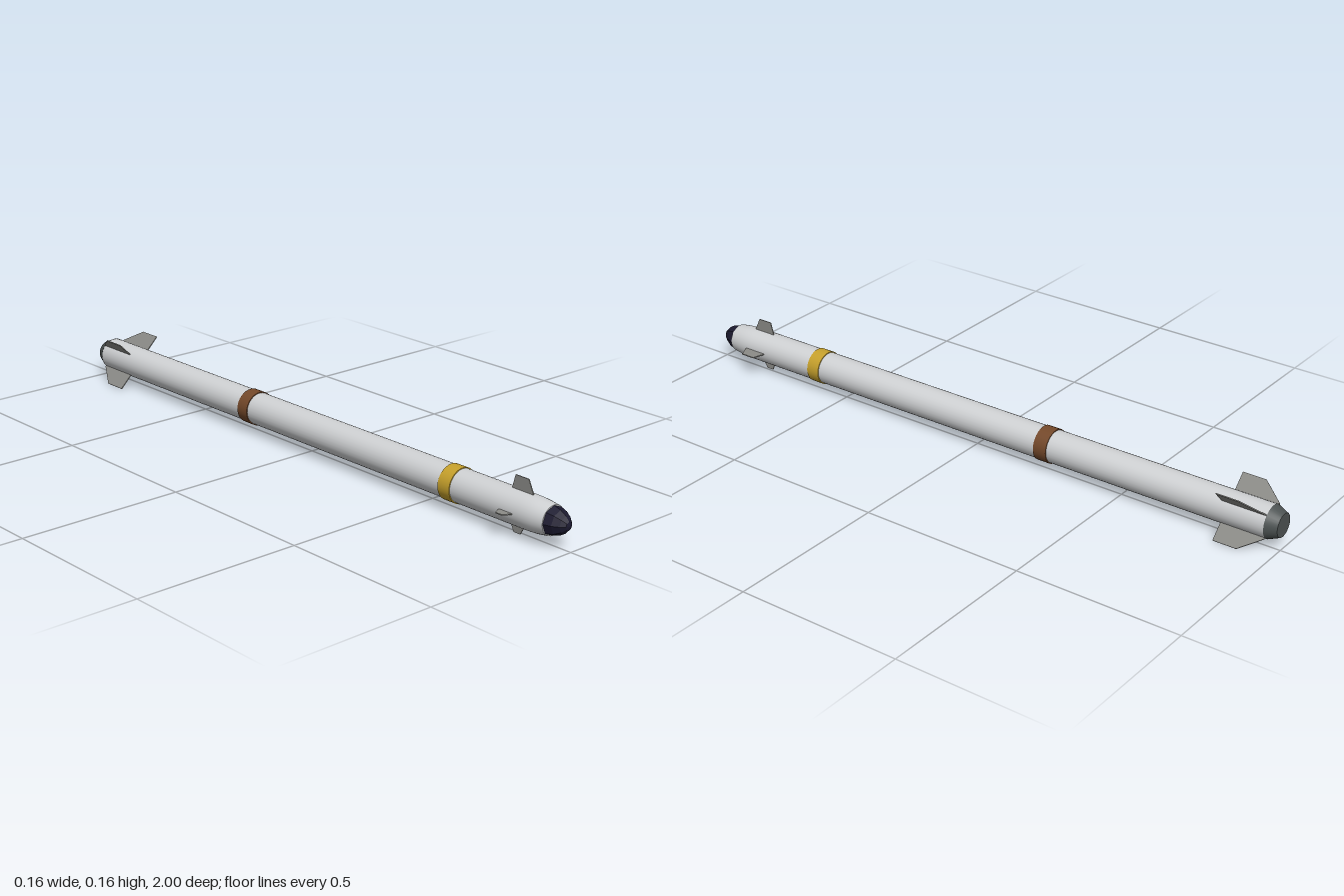
import * as THREE from 'three';

const mat = (name, color, extra = {}) => {
  const m = new THREE.MeshStandardMaterial({ color, ...extra });
  m.name = name;
  return m;
};

export function createModel() {
  const group = new THREE.Group();
  group.name = 'missile';

  const paint = mat('lightGrey', 0xd0d2d4);
  const finGrey = mat('finGrey', 0x8c8c88);
  const nozzleGrey = mat('nozzleGrey', 0x4c5252);
  const noseDark = mat('noseDark', 0x1c1a30, { flatShading: true });
  const yellow = mat('yellow', 0xc8a22c);
  const brown = mat('brown', 0x75492a);

  // Everything is built around the z axis, then lifted to its place
  const axis = new THREE.Group();
  axis.name = 'airframe';
  axis.position.set(-0.008, 0.0745, 0);
  group.add(axis);

  const add = (name, geometry, material) => {
    const mesh = new THREE.Mesh(geometry, material);
    mesh.name = name;
    axis.add(mesh);
    return mesh;
  };

  // Solid of revolution along z from [radius, z] pairs, rear to front
  const turned = (profile, sides) =>
    new THREE.LatheGeometry(profile.map(([r, z]) => new THREE.Vector2(r, z)), sides).rotateX(Math.PI / 2);

  // Straight or tapered drum between two z positions
  const drum = (z0, z1, r0, r1) =>
    new THREE.CylinderGeometry(r1, r0, z1 - z0, 32).rotateX(Math.PI / 2).translate(0, 0, (z0 + z1) / 2);

  // Body tube with tapering shoulder
  add('body', turned([
    [0.049, -0.967], [0.049, 0.86], [0.0485, 0.885], [0.047, 0.91], [0.0425, 0.944],
  ], 32), paint);
  add('shoulderCap', new THREE.CircleGeometry(0.0425, 32).translate(0, 0, 0.944), paint);

  // Faceted seeker nose
  add('nose', turned([
    [0.042, 0.943], [0.035, 0.967], [0.024, 0.986], [0.012, 0.997], [0, 1],
  ], 8), noseDark);

  // Painted bands and tail nozzle
  add('frontBand', drum(0.576, 0.619, 0.0517, 0.0517), yellow);
  add('middleBand', drum(-0.27, -0.227, 0.0517, 0.0517), brown);
  add('tailNozzle', drum(-1, -0.966, 0.035, 0.0495), nozzleGrey);

  // Thin fin from [z, radius] corners, turned about the axis
  const thickness = 0.003;
  const fin = (name, corners, angle) => {
    const shape = new THREE.Shape(corners.map(([z, r]) => new THREE.Vector2(z, r)));
    const geometry = new THREE.ExtrudeGeometry(shape, { depth: thickness, bevelEnabled: false });
    geometry.translate(0, 0, -thickness / 2).rotateY(-Math.PI / 2);
    add(name, geometry, finGrey).rotation.z = angle;
  };

  // Canards: larger pair on top and left, smaller pair below and right
  const large = [[0.8, 0.04], [0.873, 0.04], [0.873, 0.052], [0.856, 0.0875], [0.81, 0.0875], [0.8, 0.052]];
  const small = [[0.8, 0.04], [0.848, 0.04], [0.845, 0.052], [0.833, 0.0735], [0.81, 0.0735], [0.8, 0.052]];
  fin('topCanard', large, 0);
  fin('leftCanard', large, -Math.PI / 2);
  fin('rightCanard', small, Math.PI / 2);
  fin('bottomCanard', small, Math.PI);

  // Four diagonal tail fins
  const tail = [[-0.965, 0.04], [-0.831, 0.04], [-0.831, 0.1025], [-0.903, 0.1025], [-0.965, 0.053]];
  for (let i = 0; i < 4; i++) fin('tailFin' + (i + 1), tail, Math.PI / 4 + (i * Math.PI) / 2);

  return group;
}
